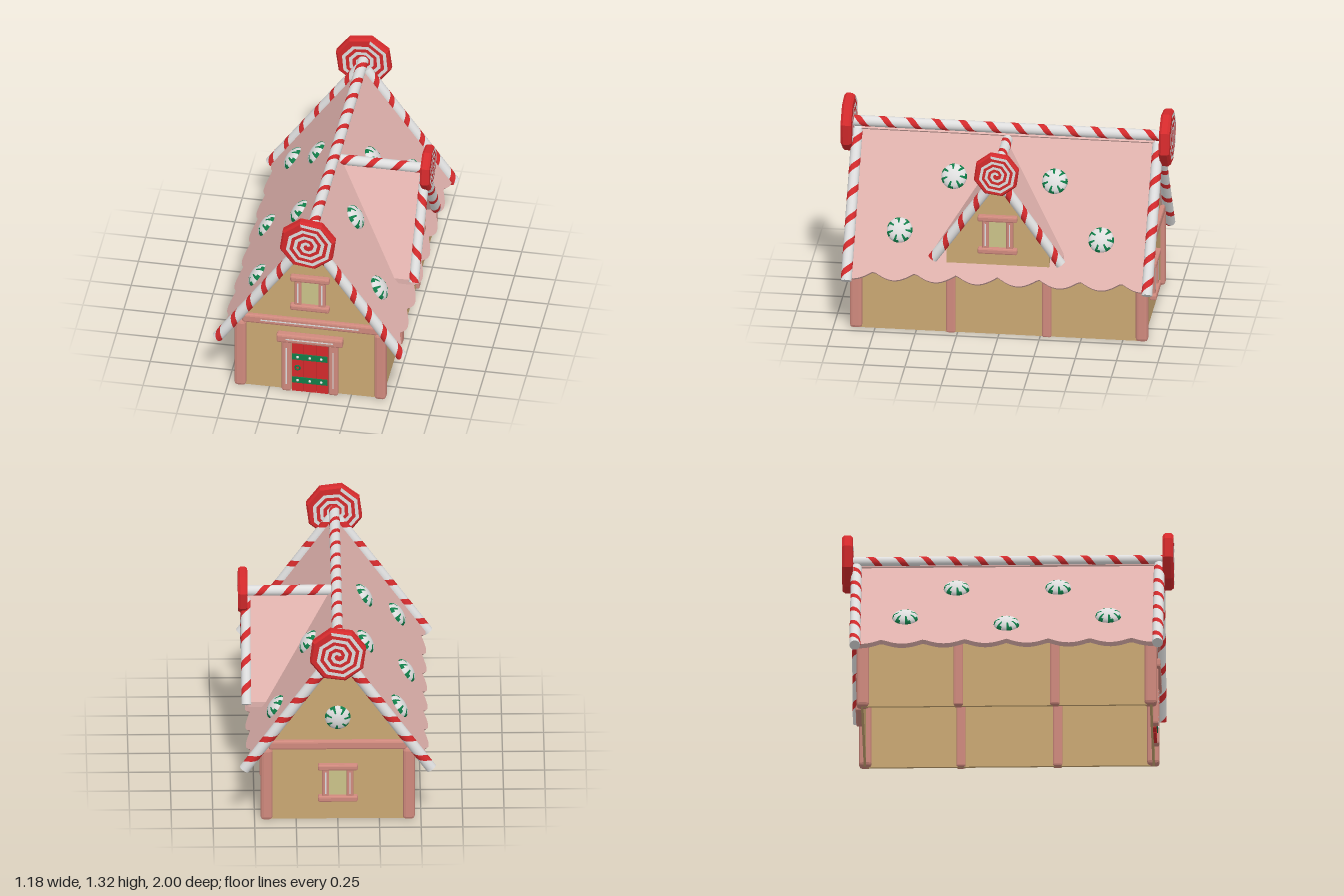
import * as THREE from 'three';
import { RoundedBoxGeometry } from 'three/addons/geometries/RoundedBoxGeometry.js';
import { ConvexGeometry } from 'three/addons/geometries/ConvexGeometry.js';

const V = (x, y, z) => new THREE.Vector3(x, y, z);
const UP = V(0, 1, 0);
const SLOPE = 1.41, APEX = 1.14;
const roofY = (x) => APEX - SLOPE * Math.abs(x);

export function createModel() {
  const paint = (name, color, extra = {}) => new THREE.MeshStandardMaterial({ name, color, ...extra });
  const wall = paint('gingerbread', 0xcaa873);
  const trim = paint('pink trim', 0xcf897d);
  const icing = paint('pink icing', 0xe0b2ad);
  const red = paint('candy red', 0xd42a2c);
  const white = paint('sugar white', 0xdedede);
  const green = paint('mint green', 0x0f7d48);
  const glass = paint('window glass', 0xcbc389);

  const root = new THREE.Group();
  const add = (parent, name, geo, mat, x = 0, y = 0, z = 0) => {
    const m = new THREE.Mesh(geo, mat);
    m.name = name;
    m.position.set(x, y, z);
    parent.add(m);
    return m;
  };
  const group = (name, x = 0, y = 0, z = 0, parent = root) => {
    const g = new THREE.Group();
    g.name = name;
    g.position.set(x, y, z);
    parent.add(g);
    return g;
  };
  const flat = (geo) => {
    const g = geo.index ? geo.toNonIndexed() : geo;
    g.computeVertexNormals();
    return g;
  };
  const box = (w, h, d) => new THREE.BoxGeometry(w, h, d);
  // Bevelled bar, with an optional thin sugar glint on its front
  const bar = (parent, name, w, h, d, x, y, z, glint = false, bevel = 0.012) => {
    add(parent, name, flat(new RoundedBoxGeometry(w, h, d, 1, bevel)), trim, x, y, z);
    if (!glint) return;
    const long = (s, o) => (s > o ? s * 0.72 : 0.008);
    add(parent, name + 'Glint', box(long(w, h), long(h, w), 0.002), white, x, y, z + d / 2);
  };

  // Striped candy cane: helical bands clamped to the pole's length
  const cane = (name, from, to, r, hand = 1) => {
    const dir = to.clone().sub(from), L = dir.length(), n = 14, pitch = 0.16, w = 0.045;
    const g = group(name, from.x, from.y, from.z);
    g.quaternion.setFromUnitVectors(UP, dir.normalize());
    const band = (start, end) => {
      const pos = [], nor = [];
      for (let k = -1; k <= L / pitch + 1; k++) for (let i = 0; i < n; i++) {
        const at = (j, s) => {
          const a = (j / n) * Math.PI * 2;
          const y = k * pitch + hand * (j / n) * pitch + s;
          return [Math.sin(a), THREE.MathUtils.clamp(y, 0, L), Math.cos(a)];
        };
        const q = [at(i, start), at(i + 1, start), at(i + 1, end), at(i, end)];
        if (q[0][1] === q[3][1] && q[1][1] === q[2][1]) continue;
        for (const c of [0, 1, 2, 0, 2, 3]) {
          pos.push(q[c][0] * r, q[c][1], q[c][2] * r);
          nor.push(q[c][0], 0, q[c][2]);
        }
      }
      const geo = new THREE.BufferGeometry();
      geo.setAttribute('position', new THREE.Float32BufferAttribute(pos, 3));
      geo.setAttribute('normal', new THREE.Float32BufferAttribute(nor, 3));
      return geo;
    };
    add(g, name + 'RedStripe', band(0, w), red);
    add(g, name + 'WhiteStripe', band(w, pitch), white);
    add(g, name + 'Core', new THREE.CylinderGeometry(r * 0.97, r * 0.97, L, n), white, 0, L / 2, 0);
  };

  // Eight-sided lollipop with a spiral on both faces
  const lollipop = (name, R, h, x, y, z, turnY = 0) => {
    const g = group(name, x, y, z);
    g.rotation.set(0, turnY, Math.PI / 12);
    g.rotation.order = 'YXZ';
    const profile = [[0, -h], [0.93, -h], [1, -h * 0.55], [1, h * 0.55], [0.93, h], [0, h]];
    const disc = new THREE.LatheGeometry(profile.map(([a, b]) => new THREE.Vector2(a * R, b)), 8);
    add(g, name + 'Disc', flat(disc.rotateX(Math.PI / 2)), red);
    const N = 26, p = (0.95 * R) / (N / 8 + 0.5), outer = [], inner = [];
    for (let i = 0; i <= N; i++) {
      const a = (i * Math.PI) / 4;
      const at = (d) => new THREE.Vector2(Math.cos(a) * d, Math.sin(a) * d);
      outer.push(at(p * (i / 8 + 0.5)));
      inner.unshift(at((p * i) / 8));
    }
    const spiral = new THREE.ShapeGeometry(new THREE.Shape([...outer, ...inner]));
    add(g, name + 'FrontSpiral', spiral, white, 0, 0, h + 0.003);
    add(g, name + 'BackSpiral', spiral, white, 0, 0, -h - 0.003).rotation.y = Math.PI;
  };

  // Peppermint dome: seven curved green wedges around a white middle
  const cols = 28, rows = 6;
  const mintGeo = new THREE.SphereGeometry(1, cols, rows, 0, Math.PI * 2, 0, Math.PI / 2);
  let start = 0;
  for (let iy = 0; iy < rows; iy++) for (let ix = 0; ix < cols; ix++) {
    const count = iy === 0 ? 3 : 6, c = ix % 4;
    mintGeo.addGroup(start, count, (iy >= 2 && c === 0) || (iy >= 4 && c === 1) ? 1 : 0);
    start += count;
  }
  const mint = (name, pos, normal) => {
    const m = add(root, name, mintGeo, [white, green], pos.x, pos.y, pos.z);
    m.scale.set(0.078, 0.04, 0.078);
    m.quaternion.setFromUnitVectors(UP, normal.normalize());
  };

  const windowFrame = (name, x, y, z, turn) => {
    const g = group(name, x, y, z);
    g.rotation.y = turn;
    add(g, 'windowPane', box(0.11, 0.19, 0.008), glass, 0, 0, 0.004);
    for (const s of [-1, 1]) {
      bar(g, 'windowJamb', 0.042, 0.2, 0.03, s * 0.073, 0, 0.012, true, 0.008);
      bar(g, 'windowSill', 0.24, 0.038, 0.045, 0, s * 0.105, 0.016, false, 0.01);
    }
  };

  // Walls, open underneath
  const gable = new THREE.Shape([[-0.44, 0], [0.44, 0], [0.44, 0.47], [0, 1.09], [-0.44, 0.47]]
    .map(([x, y]) => new THREE.Vector2(x, y)));
  const gableGeo = new THREE.ExtrudeGeometry(gable, { depth: 0.015, bevelEnabled: false });
  for (const s of [-1, 1]) {
    add(root, s > 0 ? 'frontWall' : 'backWall', gableGeo, wall, 0, 0, s > 0 ? 0.86 : -0.875);
    add(root, 'sideWall', box(0.015, 0.47, 1.73), wall, s * 0.4325, 0.235, 0);
    bar(root, 'gableBeam', 0.83, 0.058, 0.04, 0, 0.502, s * 0.882, s > 0);
    for (const z of [-0.865, 0.865])
      bar(root, 'cornerPost', 0.072, 0.48, 0.075, s * 0.427, 0.24, z, false, 0.02);
    for (const z of [-0.29, 0.29])
      bar(root, 'sidePost', 0.05, 0.45, 0.056, s * 0.437, 0.225, z, false, 0.01);
  }

  // Scalloped roof slabs
  const a = Math.atan(SLOPE), len = 0.95, edge = [[0, 0.885], [0, -0.885]];
  for (let i = 0; i <= 84; i++) {
    const z = -0.885 + (i * 1.77) / 84;
    edge.push([len - 0.05 * (1 - Math.abs(Math.sin((Math.PI * z) / 0.25))), z]);
  }
  const slab = new THREE.ExtrudeGeometry(new THREE.Shape(edge.map(([u, v]) => new THREE.Vector2(u, v))),
    { depth: 0.03, bevelEnabled: false }).translate(0, 0, -0.03);
  slab.applyMatrix4(new THREE.Matrix4().makeBasis(
    V(Math.cos(a), -Math.sin(a), 0), V(0, 0, -1), V(Math.sin(a), Math.cos(a), 0)));
  add(root, 'roofRight', slab, icing, 0, APEX, 0);
  add(root, 'roofLeft', slab, icing, 0, APEX, 0).rotation.y = Math.PI;

  // Candy cane edges and lollipops
  cane('ridgeCane', V(0, 1.16, 0.94), V(0, 1.16, -0.94), 0.033);
  for (const e of [-1, 1]) {
    for (const s of [-1, 1])
      cane('gableCane', V(s * 0.562, 0.352, e * 0.91), V(s * 0.02, 1.115, e * 0.91), 0.033, s);
    lollipop('gableLollipop', 0.175, 0.032, 0, 1.15, e * 0.963, e > 0 ? 0 : Math.PI);
  }

  // Peppermints on the roof and the back gable
  for (const s of [-1, 1]) {
    const spots = [[0.37, 0.61], [0.37, -0.61], [0.17, 0.305], [0.17, -0.305]];
    if (s < 0) spots.push([0.42, 0]);
    for (const [x, z] of spots) mint('roofMint', V(s * x, roofY(x), z), V(s * SLOPE, 1, 0));
  }
  mint('gableMint', V(0, 0.68, -0.873), V(0, 0, -1));

  // Dormer
  const body = [];
  for (const s of [-1, 1]) for (const [x, y, z] of
    [[0.49, 0.475, 0.31], [0.46, 0.475, 0.31], [0.49, 0.62, 0.31], [0.37, 0.62, 0.31], [0.49, 1.05, 0], [0.07, 1.05, 0]])
    body.push(V(x, y, z * s));
  add(root, 'dormerWall', new ConvexGeometry(body), wall);
  for (const s of [-1, 1]) {
    const top = [V(0.53, 1.09, 0), V(0.035, 1.09, 0), V(0.425, 0.54, s * 0.39), V(0.53, 0.54, s * 0.39)];
    const low = top.map((p) => p.clone().add(V(0, -0.035, 0)));
    add(root, 'dormerRoof', new ConvexGeometry([...top, ...low]), icing);
    cane('dormerCane', V(0.543, 0.522, s * 0.388), V(0.543, 1.05, s * 0.015), 0.031, -s);
  }
  cane('dormerRidgeCane', V(0.03, 1.095, 0), V(0.55, 1.095, 0), 0.032, -1);
  lollipop('dormerLollipop', 0.14, 0.028, 0.561, 1.1, 0, Math.PI / 2);

  // Windows
  windowFrame('frontWindow', 0, 0.73, 0.875, 0);
  windowFrame('backWindow', 0, 0.25, -0.875, Math.PI);
  windowFrame('dormerWindow', 0.49, 0.68, 0, Math.PI / 2);

  // Door
  const door = group('door', 0, 0, 0.875);
  for (const i of [-1, 0, 1]) add(door, 'doorPlank', box(0.072, 0.36, 0.02), red, i * 0.075, 0.18, 0.008);
  for (const y of [0.085, 0.255]) {
    add(door, 'doorStrap', box(0.215, 0.04, 0.008), green, 0, y, 0.021);
    for (const x of [-0.075, 0, 0.07])
      add(door, 'strapBolt', new THREE.SphereGeometry(0.009, 8, 6), white, x, y, 0.025);
  }
  add(door, 'doorRing', new THREE.TorusGeometry(0.015, 0.005, 6, 14), green, -0.075, 0.175, 0.022);
  for (const s of [-1, 1]) bar(door, 'doorJamb', 0.058, 0.37, 0.04, s * 0.143, 0.185, 0.012, true);
  bar(door, 'doorLintel', 0.405, 0.058, 0.055, 0, 0.392, 0.018, true);

  return root;
}
